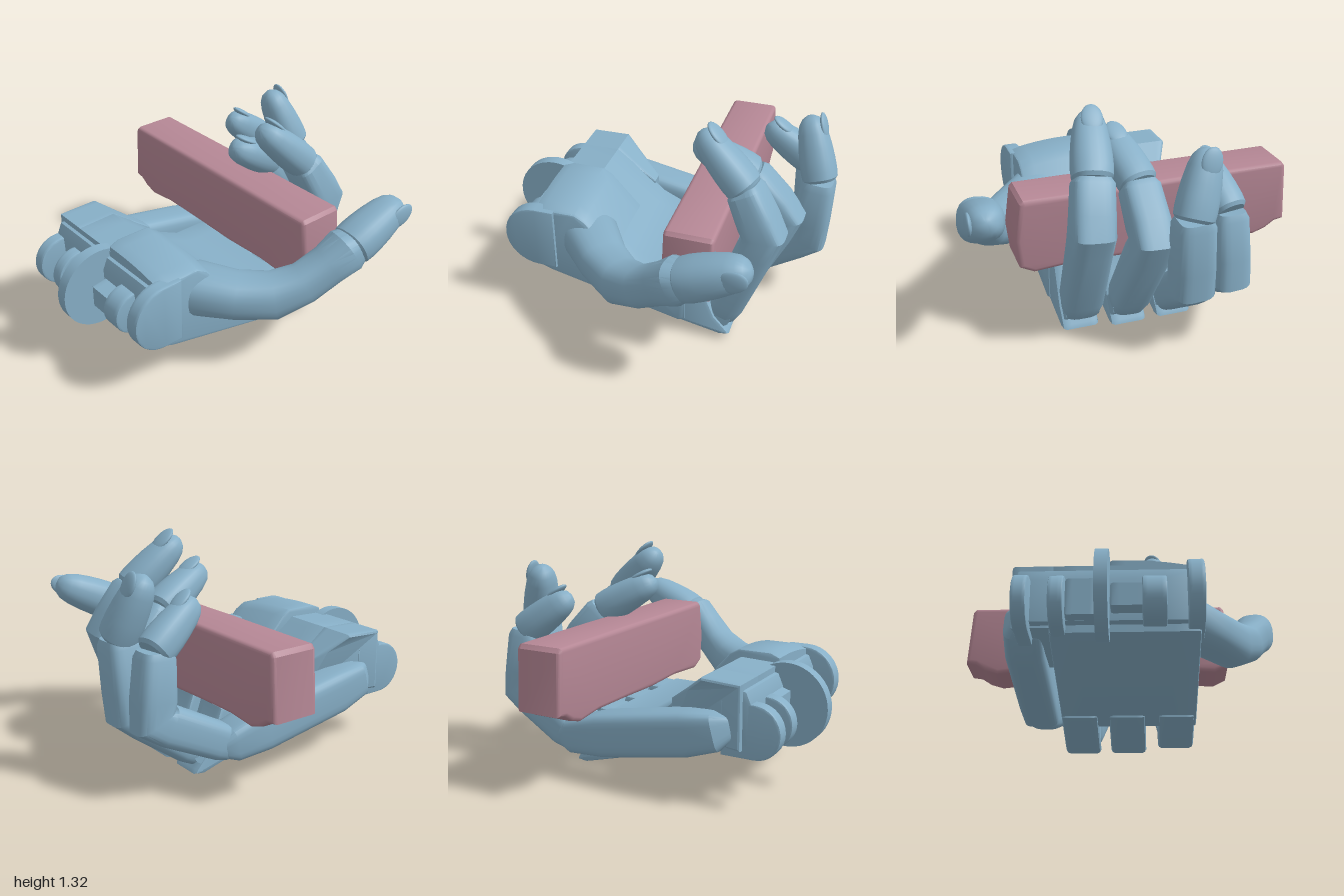
import * as THREE from 'three';
import { toCreasedNormals } from 'three/addons/utils/BufferGeometryUtils.js';

const blue = new THREE.MeshStandardMaterial({ color: 0x87afc7 });
const pink = new THREE.MeshStandardMaterial({ color: 0xb58795 });
const V = (p) => new THREE.Vector3(...p);

export function createModel() {
  const root = new THREE.Group();
  const add = (name, geo, mat = blue, parent = root) => {
    const m = new THREE.Mesh(geo, mat);
    m.name = name;
    parent.add(m);
    return m;
  };

  // Side profile of [z, y] points, extruded from x0 to x1, optionally reshaped by a rule
  const slab = (pts, x0, x1, bevel = 0.015, rule = null) => {
    const s = new THREE.Shape(pts.map(([z, y]) => new THREE.Vector2(-z, y)));
    const g = new THREE.ExtrudeGeometry(s, {
      depth: x1 - x0 - 2 * bevel, bevelSize: bevel, bevelThickness: bevel, bevelOffset: -bevel, bevelSegments: 2, steps: 6,
    });
    g.rotateY(Math.PI / 2).translate(x0 + bevel, 0, 0);
    const p = g.attributes.position;
    for (let i = 0; rule && i < p.count; i++) p.setXYZ(i, ...rule(p.getX(i), p.getY(i), p.getZ(i)));
    return toCreasedNormals(g, 0.6);
  };

  // Skin over stations [point, halfWidth, halfDepth]; power < 1 squares the section
  const loft = (stations, side, power = 0.7, n = 24) => {
    const P = stations.map((s) => V(s[0]));
    const pos = [], idx = [];
    stations.forEach(([, w, h], i) => {
      const t = P[Math.min(i + 1, P.length - 1)].clone().sub(P[Math.max(i - 1, 0)]).normalize();
      const s = V(side).addScaledVector(t, -V(side).dot(t)).normalize();
      const d = t.clone().cross(s);
      for (let j = 0; j < n; j++) {
        const a = ((j + 0.5) / n) * Math.PI * 2, c = Math.cos(a), e = Math.sin(a);
        const p = P[i].clone()
          .addScaledVector(s, w * Math.sign(c) * Math.abs(c) ** power)
          .addScaledVector(d, h * Math.sign(e) * Math.abs(e) ** power);
        pos.push(p.x, p.y, p.z);
      }
    });
    const last = P.length - 1, c0 = P.length * n, c1 = c0 + 1;
    pos.push(...P[0].toArray(), ...P[last].toArray());
    for (let j = 0; j < n; j++) {
      const k = (j + 1) % n;
      for (let i = 0; i < last; i++) {
        const a = i * n + j, b = i * n + k;
        idx.push(a, b, b + n, a, b + n, a + n);
      }
      idx.push(c0, k, j, c1, last * n + j, last * n + k);
    }
    const g = new THREE.BufferGeometry();
    g.setAttribute('position', new THREE.Float32BufferAttribute(pos, 3));
    g.setIndex(idx);
    return toCreasedNormals(g, 0.6);
  };
  const mix = (a, b, t) => V(a).lerp(V(b), t).toArray();

  // Tapering fingertip with a flush nail on its outer side
  const tip = (parent, a, b, w, h, side) => {
    const rows = [[-0.05, 0.85], [0, 1.02], [0.12, 1.05], [0.3, 1.03], [0.5, 0.97], [0.72, 0.86], [0.86, 0.72], [0.95, 0.5], [1, 0.18]];
    add('fingertip', loft(rows.map(([t, k]) => [mix(a, b, t), w * k, h * k]), side, 0.85), blue, parent);
    const t = V(b).sub(V(a)).normalize();
    const s = V(side).addScaledVector(t, -V(side).dot(t)).normalize();
    const d = t.clone().cross(s);
    const nail = add('nail', new THREE.SphereGeometry(1, 20, 12), blue, parent);
    nail.scale.set(w * 0.55, 0.02, V(a).distanceTo(V(b)) * 0.22);
    nail.quaternion.setFromRotationMatrix(new THREE.Matrix4().makeBasis(s, d, t));
    nail.position.copy(V(mix(a, b, 0.8))).addScaledVector(d, h * 0.73);
  };

  // Fingers: base, knuckle, joint, tip, half width
  const fingers = [
    ['indexFinger', [0.32, 0.15, -0.47], [0.31, 0.74, -0.68], [0.26, 1.0, -0.54], [0.19, 1.27, -0.26], 0.12],
    ['middleFinger', [0.04, 0.13, -0.48], [-0.02, 0.66, -0.73], [-0.01, 0.92, -0.52], [0.05, 1.11, -0.19], 0.115],
    ['ringFinger', [-0.25, 0.13, -0.47], [-0.2, 0.43, -0.86], [-0.18, 0.86, -0.9], [-0.3, 1.2, -0.79], 0.115],
    ['littleFinger', [-0.51, 0.24, -0.42], [-0.43, 0.45, -0.85], [-0.42, 0.83, -0.82], [-0.37, 1.05, -0.53], 0.1],
  ];
  for (const [name, base, knuckle, joint, end, w] of fingers) {
    const g = new THREE.Group();
    g.name = name;
    root.add(g);
    add('phalanges', loft([
      [mix(base, knuckle, -0.08), w * 0.6, 0.05], [base, w * 0.85, 0.09], [mix(base, knuckle, 0.15), w, 0.105],
      [mix(base, knuckle, 0.82), w, 0.115], [knuckle, w * 1.02, 0.125], [mix(knuckle, joint, 0.3), w * 1.02, 0.115],
      [mix(knuckle, joint, 0.9), w * 0.98, 0.1], [joint, w * 0.8, 0.085],
    ], [1, 0, 0], 0.55), blue, g);
    tip(g, joint, end, w * 0.95, 0.1, [1, 0, 0]);
    const pin = add('hingePin', new THREE.CylinderGeometry(0.06, 0.06, w * 1.7, 20), blue, g);
    pin.rotation.z = Math.PI / 2;
    pin.position.set(...base);
  }

  // Thumb
  const thumb = new THREE.Group();
  thumb.name = 'thumb';
  root.add(thumb);
  add('thumbBase', loft([
    [[0.26, 0.53, 0.44], 0.12, 0.12], [[0.35, 0.52, 0.36], 0.14, 0.17], [[0.53, 0.5, 0.21], 0.13, 0.145],
    [[0.67, 0.5, 0.05], 0.135, 0.13], [[0.76, 0.57, -0.1], 0.115, 0.115], [[0.82, 0.67, -0.23], 0.115, 0.11],
    [[0.85, 0.74, -0.33], 0.13, 0.125], [[0.86, 0.77, -0.4], 0.1, 0.1],
  ], [0, 1, 0], 0.8), blue, thumb);
  tip(thumb, [0.855, 0.76, -0.37], [0.88, 0.925, -0.73], 0.115, 0.122, [0, 1, 0]);

  // Palm and the notched tongues that carry the fingers
  add('palm', slab([[0.68, 0.31], [0.6, 0.28], [-0.22, 0.09], [-0.26, 0.11], [-0.26, 0.38], [-0.05, 0.38],
    [0.12, 0.46], [0.32, 0.63], [0.44, 0.72], [0.68, 0.71]], -0.36, 0.45));
  for (const [x, lift] of [[-0.25, 0], [0.035, 0], [0.33, 0.03]]) {
    add('fingerTongue', slab([[-0.1, 0.105], [-0.47, 0.005 + lift], [-0.53, 0.015 + lift], [-0.52, 0.04 + lift],
      [-0.44, 0.13 + lift], [-0.35, 0.38], [-0.1, 0.37]], x - 0.11, x + 0.11, 0.025));
  }

  // Wrist block: cheek narrowing toward the fingers, thumb-side band, front wall
  add('wristCheek', slab([[0.68, 0.34], [0.68, 0.71], [0.44, 0.72], [0.32, 0.63], [0.18, 0.53], [0.18, 0.32]], -0.57, -0.33, 0.015,
    (x, y, z) => [x + Math.max(0, 0.46 - z) * 0.55 * Math.max(0, (-0.33 - x) / 0.24), y, z]));
  add('thumbBand', slab([[0.68, 0.6], [0.68, 0.74], [0.62, 0.765], [0.42, 0.765], [0.36, 0.73], [0.18, 0.53]], -0.04, 0.45, 0.015,
    (x, y, z) => [x, y - Math.max(0, x - 0.05) ** 2 * 0.3, z]));
  add('wristWall', slab([[0.6, 0.34], [0.72, 0.36], [0.73, 0.6], [0.7, 0.67], [0.6, 0.69]], -0.54, 0.44));
  add('wristBridge', slab([[0.65, 0.4], [0.82, 0.4], [0.82, 0.53], [0.65, 0.56]], -0.03, 0.2));
  add('wristBlock', slab([[0.65, 0.35], [0.78, 0.37], [0.78, 0.58], [0.65, 0.62]], -0.27, -0.1));

  // Little finger rail along the outer edge
  add('littleFingerRail', loft([
    [[-0.5, 0.46, 0.61], 0.05, 0.06], [[-0.515, 0.43, 0.53], 0.11, 0.11], [[-0.525, 0.39, 0.35], 0.115, 0.13],
    [[-0.515, 0.29, -0.2], 0.115, 0.13], [[-0.515, 0.25, -0.42], 0.11, 0.1], [[-0.515, 0.23, -0.48], 0.08, 0.06],
  ], [1, 0, 0], 0.45));

  // Wrist hinge lugs: x0, x1, centre y, radius, front z
  const lugs = [[-0.54, -0.46, 0.45, 0.155, 0.9], [-0.35, -0.27, 0.45, 0.15, 0.89],
    [0.14, 0.27, 0.47, 0.13, 0.86], [0.38, 0.47, 0.52, 0.2, 0.87]];
  for (const [x0, x1, y, r, z] of lugs) {
    const pts = [[0.55, y + r], [0.55, y - r]];
    for (let i = 0; i <= 16; i++) {
      const a = -Math.PI / 2 + (i / 16) * Math.PI;
      pts.push([z - r + r * Math.cos(a), y + r * Math.sin(a)]);
    }
    add('wristLug', slab(pts, x0, x1, 0.01));
  }

  // Large wrist disc
  const disc = add('wristDisc', new THREE.CylinderGeometry(0.247, 0.247, 0.07, 48));
  disc.rotation.z = Math.PI / 2;
  disc.position.set(-0.07, 0.49, 0.753);

  // Held bar with a worn lower edge
  const bar = new THREE.Shape([[-0.98, 0.51], [-0.92, 0.5], [-0.86, 0.46], [-0.78, 0.435], [-0.6, 0.455], [-0.3, 0.45],
    [0, 0.44], [0.3, 0.45], [0.58, 0.43], [0.66, 0.47], [0.68, 0.64], [0.65, 0.86], [0.63, 0.88], [0.2, 0.88], [-0.3, 0.885],
    [-0.94, 0.885], [-0.96, 0.86]].map((p) => new THREE.Vector2(...p)));
  const barGeo = new THREE.ExtrudeGeometry(bar, {
    depth: 0.24, bevelSize: 0.025, bevelThickness: 0.025, bevelOffset: -0.025, bevelSegments: 3,
  });
  barGeo.translate(0, 0, -0.45);
  add('heldBar', toCreasedNormals(barGeo, 0.6), pink);
  return root;
}
